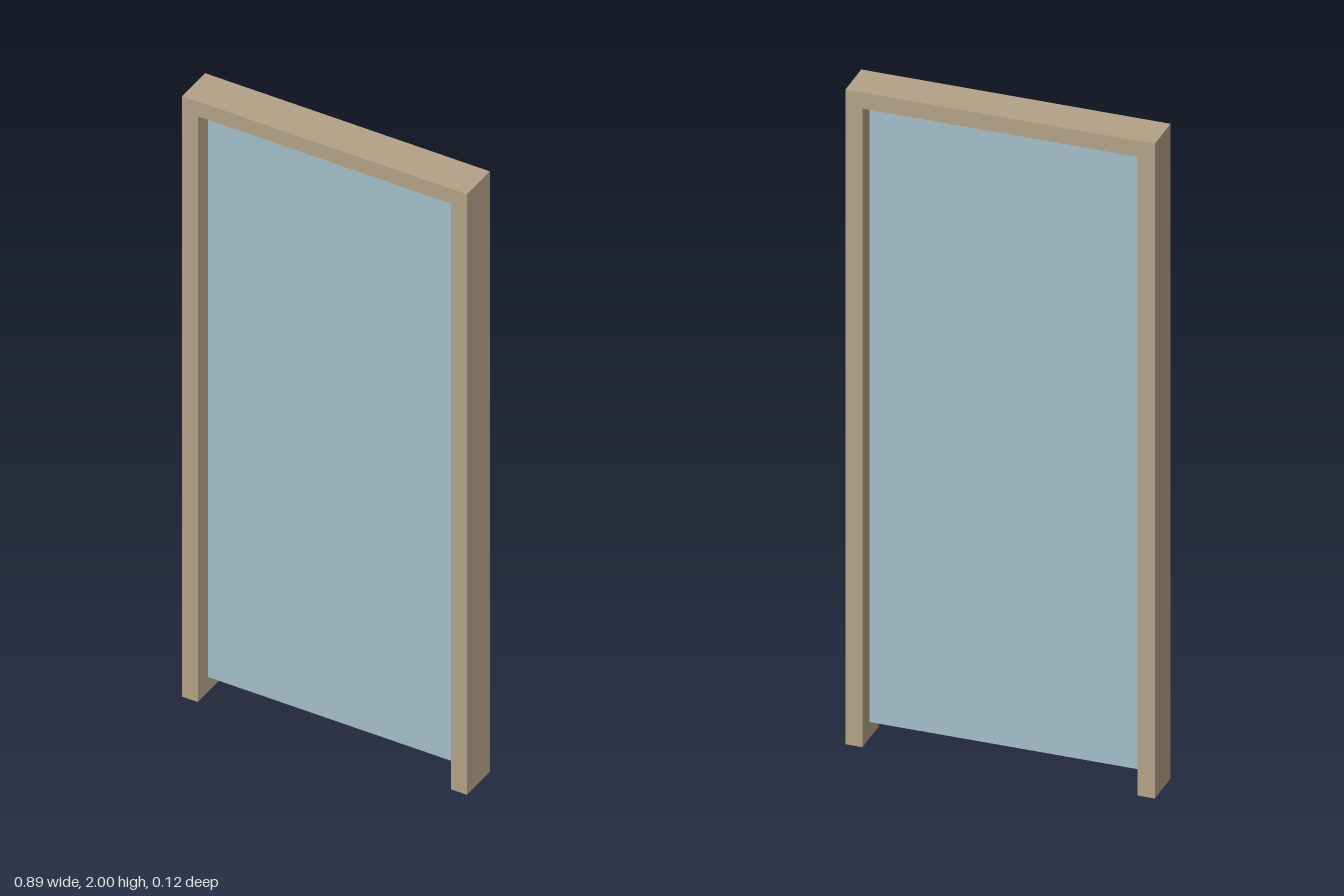
import * as THREE from 'three';

const W = 0.888, H = 2, DEPTH = 0.122, BAR = 0.049;

export function createModel() {
  const group = new THREE.Group();
  const wood = new THREE.MeshStandardMaterial({ color: 0xb3a287 });
  const glass = new THREE.MeshStandardMaterial({ color: 0xa3bfca });

  // Door frame: two jambs joined by a head, open at the floor
  const x = W / 2, xi = x - BAR, yi = H - BAR;
  const outline = new THREE.Shape([
    [-x, 0], [-xi, 0], [-xi, yi], [xi, yi], [xi, 0], [x, 0], [x, H], [-x, H],
  ].map(([px, py]) => new THREE.Vector2(px, py)));
  const frame = new THREE.Mesh(
    new THREE.ExtrudeGeometry(outline, { depth: DEPTH, bevelEnabled: false }), wood);
  frame.position.z = -DEPTH / 2;
  frame.name = 'doorFrame';
  group.add(frame);

  // Thin pane in the middle of the frame, raised off the floor
  const bottom = 0.05;
  const pane = new THREE.Mesh(new THREE.BoxGeometry(2 * xi, yi - bottom, 0.015), glass);
  pane.position.y = (yi + bottom) / 2;
  pane.name = 'glassPane';
  group.add(pane);

  return group;
}
